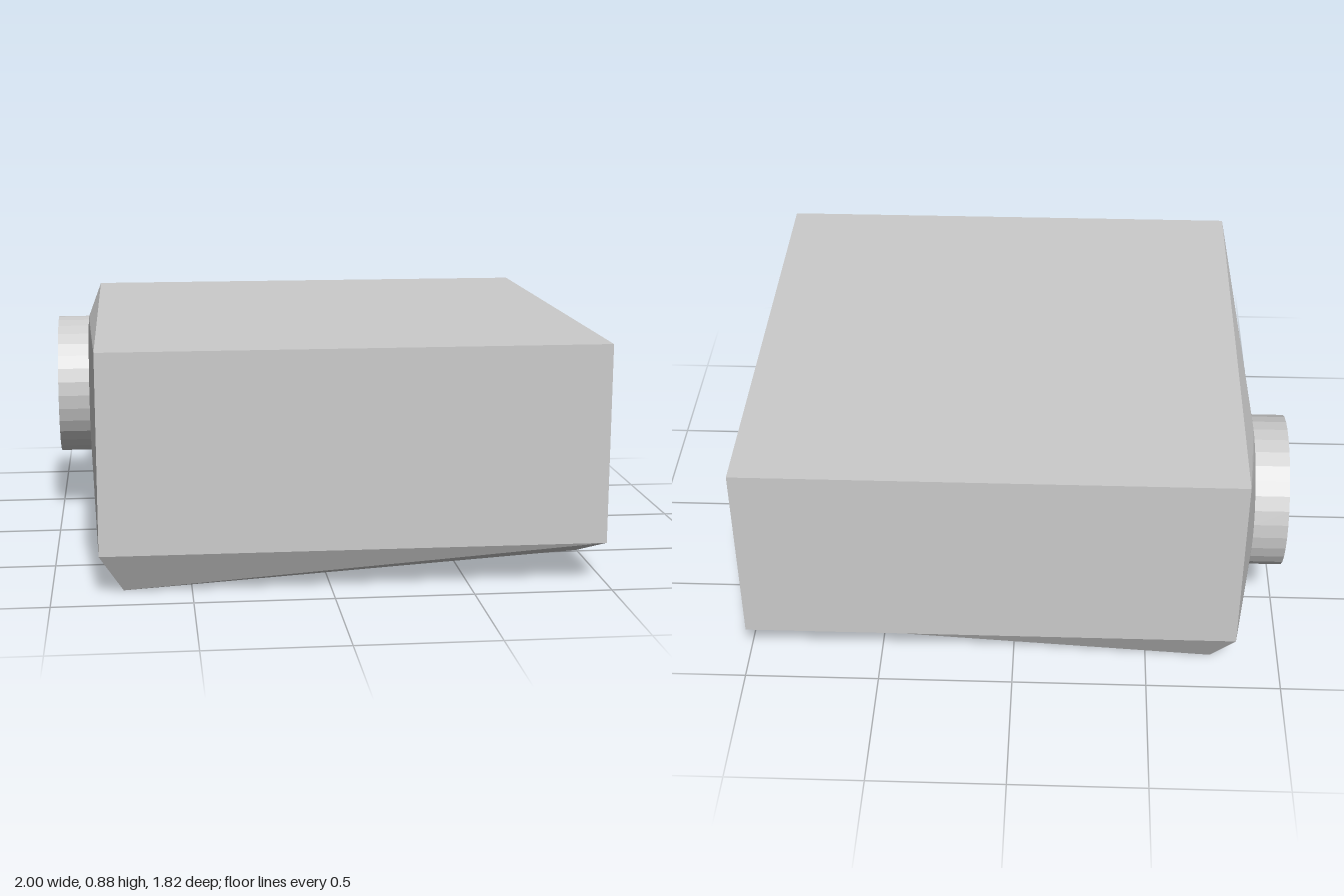
import * as THREE from 'three';

const SIDES = 32;
const LENS = { x: -0.875, y: 0.516, z: -0.46, r: 0.283 };

const material = () => new THREE.MeshStandardMaterial({ color: 0xcccccc, flatShading: true });

// Flat-shaded mesh from a list of convex faces (corner loops, counter-clockwise).
function facetMesh(name, faces) {
  const pos = [];
  for (const f of faces)
    for (let i = 1; i < f.length - 1; i++) pos.push(...f[0], ...f[i], ...f[i + 1]);
  const geo = new THREE.BufferGeometry();
  geo.setAttribute('position', new THREE.Float32BufferAttribute(pos, 3));
  geo.computeVertexNormals();
  const mesh = new THREE.Mesh(geo, material());
  mesh.name = name;
  return mesh;
}

// Four-cornered loop whose height may differ at its two x ends.
const loop = (x0, y0, x1, y1, z) => [[x0, y0, z], [x1, y1, z], [x1, y1, -z], [x0, y0, -z]];

// Walls joining an upper loop to the next one.
const walls = (up, low, sides = [0, 1, 2, 3]) => sides.map((i) => {
  const j = (i + 1) % 4;
  return [low[i], low[j], up[j], up[i]];
});

export function createModel() {
  const model = new THREE.Group();
  model.name = 'projector';

  const top = loop(-0.83, 0.88, 1, 0.88, 0.91);
  const belt = loop(-0.83, 0.15, 1, 0.15, 0.91);
  const base = loop(-0.745, 0, 0.91, 0.103, 0.83);
  const recess = loop(-0.47, 0.057, 0.62, 0.145, 0.57);

  // Box body, left open on the lens side
  model.add(facetMesh('housing', [top, ...walls(top, belt, [0, 1, 2])]));

  // Tilted underside with a shallow sunken panel
  model.add(facetMesh('underside', [
    ...walls(belt, base), ...walls(base, recess), [...recess].reverse(),
  ]));

  // Lens-side panel, drawn out from the rectangle to the round lens seat
  const corners = [top[0], top[3], belt[3], belt[0]];
  const ring = Array.from({ length: SIDES }, (_, i) => {
    const a = (i / SIDES) * Math.PI * 2;
    return [LENS.x, LENS.y + LENS.r * Math.sin(a), LENS.z + LENS.r * Math.cos(a)];
  });
  const panel = [];
  const quarter = SIDES / 4;
  corners.forEach((c, k) => {
    for (let i = k * quarter; i < (k + 1) * quarter; i++)
      panel.push([c, ring[(i + 1) % SIDES], ring[i]]);
    panel.push([c, corners[(k + 1) % 4], ring[((k + 1) * quarter) % SIDES]]);
  });
  model.add(facetMesh('lensPanel', panel));

  // Lens barrel with a dished front
  const profile = [[LENS.r, 0], [LENS.r, 0.125], [0.228, 0.088], [0, 0.088]]
    .map(([r, h]) => new THREE.Vector2(r, h));
  const lens = new THREE.Mesh(new THREE.LatheGeometry(profile, SIDES), material());
  lens.name = 'lensBarrel';
  lens.rotation.z = Math.PI / 2;
  lens.position.set(LENS.x, LENS.y, LENS.z);
  model.add(lens);

  return model;
}
